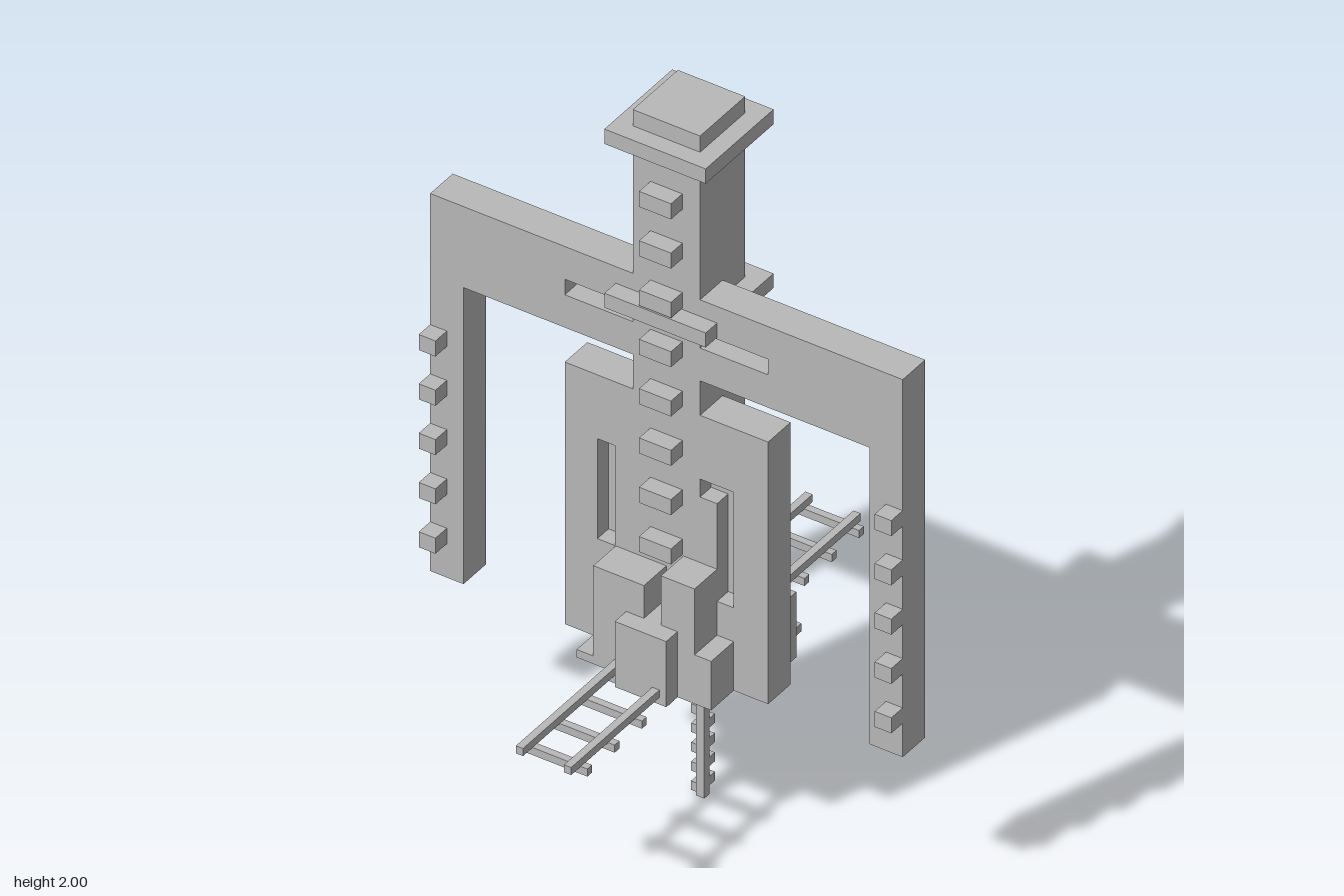
import * as THREE from 'three';

export function createModel() {
  const model = new THREE.Group();
  const grey = new THREE.MeshStandardMaterial({ color: 0xb8b8b8 });
  grey.name = 'grey';

  // box given by its limits on each axis
  function box(name, x0, x1, y0, y1, z0, z1, parent = model) {
    const m = new THREE.Mesh(new THREE.BoxGeometry(x1 - x0, y1 - y0, z1 - z0), grey);
    m.position.set((x0 + x1) / 2, (y0 + y1) / 2, (z0 + z1) / 2);
    m.name = name;
    parent.add(m);
    return m;
  }
  function group(name) {
    const g = new THREE.Group();
    g.name = name;
    model.add(g);
    return g;
  }
  const rect = (x0, x1, y0, y1) => [[x0, y0], [x1, y0], [x1, y1], [x0, y1]];
  const vectors = (pts) => pts.map(([x, y]) => new THREE.Vector2(x, y));
  // flat panel with cut-outs
  function panel(name, outline, holes, z0, z1) {
    const shape = new THREE.Shape(vectors(outline));
    holes.forEach((h) => shape.holes.push(new THREE.Path(vectors(h))));
    const geo = new THREE.ExtrudeGeometry(shape, { depth: z1 - z0, bevelEnabled: false });
    const m = new THREE.Mesh(geo, grey);
    m.position.z = z0;
    m.name = name;
    model.add(m);
  }

  // central tower, cap and collar
  box('tower', -0.095, 0.095, 0.43, 2, -0.095, 0.095);
  box('towerCap', -0.143, 0.143, 1.91, 1.953, -0.143, 0.143);
  box('rearCollar', -0.143, 0.143, 1.435, 1.477, -0.143, 0);
  box('frontCollar', -0.143, 0.143, 1.435, 1.477, 0.09, 0.143);

  // slotted crossbeam with hanging arms
  panel('armFrame', [
    [-0.667, 0.43], [-0.573, 0.43], [-0.573, 1.29], [0.573, 1.29],
    [0.573, 0.43], [0.667, 0.43], [0.667, 1.525], [-0.667, 1.525],
  ], [rect(-0.287, -0.09, 1.385, 1.43), rect(0.09, 0.287, 1.385, 1.43)], 0, 0.095);

  // studs on the tower and arms
  const studs = group('studs');
  for (let i = 0; i < 8; i++) {
    const y = 1.767 - i * 0.143;
    box('towerStud', -0.045, 0.045, y, y + 0.045, 0.09, 0.143, studs);
  }
  for (let i = 0; i < 5; i++) {
    const y = 1.1 - i * 0.143;
    box('rightArmStud', -0.667, -0.62, y, y + 0.045, 0.09, 0.143, studs);
    box('leftArmStud', 0.62, 0.667, y, y + 0.045, 0.09, 0.143, studs);
  }

  // body panel with recessed slots
  box('bodyBack', -0.287, 0.287, 0.43, 1.19, 0, 0.048);
  panel('bodyFront', rect(-0.287, 0.287, 0.43, 1.19), [
    rect(-0.195, -0.145, 0.715, 1.005),
    [[0.143, 0.67], [0.19, 0.67], [0.19, 1.005], [0.095, 1.005], [0.095, 0.953], [0.143, 0.953]],
  ], 0.048, 0.095);

  // stepped base blocks
  const base = group('baseBlocks');
  [
    ['basePlate', -0.19, 0.19, 0.43, 0.453, -0.19, 0.19],
    ['frontRightBlock', -0.143, 0, 0.43, 0.715, 0.09, 0.19],
    ['frontLeftBlock', 0.048, 0.143, 0.43, 0.763, 0.09, 0.19],
    ['frontMiddleBlock', -0.05, 0.095, 0.43, 0.62, 0.09, 0.238],
    ['frontSideBlock', 0.143, 0.19, 0.43, 0.572, 0.09, 0.19],
    ['rearBlock', -0.143, 0.19, 0.43, 0.62, -0.145, -0.05],
    ['rearLeftPost', 0.1, 0.145, 0.43, 0.525, -0.19, -0.14],
    ['rearRightPost', -0.19, -0.143, 0.43, 0.525, -0.19, -0.14],
    ['rightBlock', -0.238, -0.09, 0.43, 0.62, -0.097, 0.01],
    ['rightTopBlock', -0.19, -0.143, 0.62, 0.667, -0.045, 0.01],
    ['leftBlock', 0.09, 0.238, 0.43, 0.62, -0.097, 0.01],
    ['underBlock', -0.12, 0.115, 0.34, 0.43, -0.045, 0.072],
    ['underLip', -0.05, 0.05, 0.385, 0.43, 0.06, 0.095],
  ].forEach((b) => box(...b, base));

  // ladders at front and back
  const ladders = group('ladders');
  for (const x of [-0.07, 0.066]) box('ladderRail', x - 0.01, x + 0.01, 0.45, 0.472, -0.61, 0.61, ladders);
  for (const start of [-0.585, 0.215])
    for (let i = 0; i < 4; i++) {
      const z = start + i * 0.115;
      box('ladderRung', -0.095, 0.095, 0.429, 0.451, z - 0.01, z + 0.01, ladders);
    }

  // toothed drop chain
  const drop = group('dropChain');
  box('dropSpine', 0.02, 0.043, 0, 0.345, -0.022, 0, drop);
  for (let i = 0; i < 6; i++) {
    const y = 0.025 + i * 0.056;
    box('leftTooth', 0.02, 0.043, y, y + 0.026, -0.045, -0.021, drop);
    box('rightTooth', -0.002, 0.021, y - 0.025, y + 0.001, -0.045, -0.012, drop);
  }

  // small chains spreading under the base, built of staggered links
  const chains = group('chains');
  function chain(name, x, z, dx, dz, count) {
    for (let i = 0; i < count; i++) {
      const cx = x + dx * i, cz = z + dz * i, y = i % 2 ? 0.385 : 0.4;
      box(name, cx - 0.012, cx + 0.012, y, y + 0.028, cz - 0.012, cz + 0.012, chains);
    }
  }
  chain('diagonalChain', -0.04, -0.05, -0.0235, -0.0247, 10);
  chain('rearChain', 0.01, -0.05, 0, -0.0224, 11);
  chain('sideChain', -0.11, -0.012, -0.0235, 0, 7);

  return model;
}
